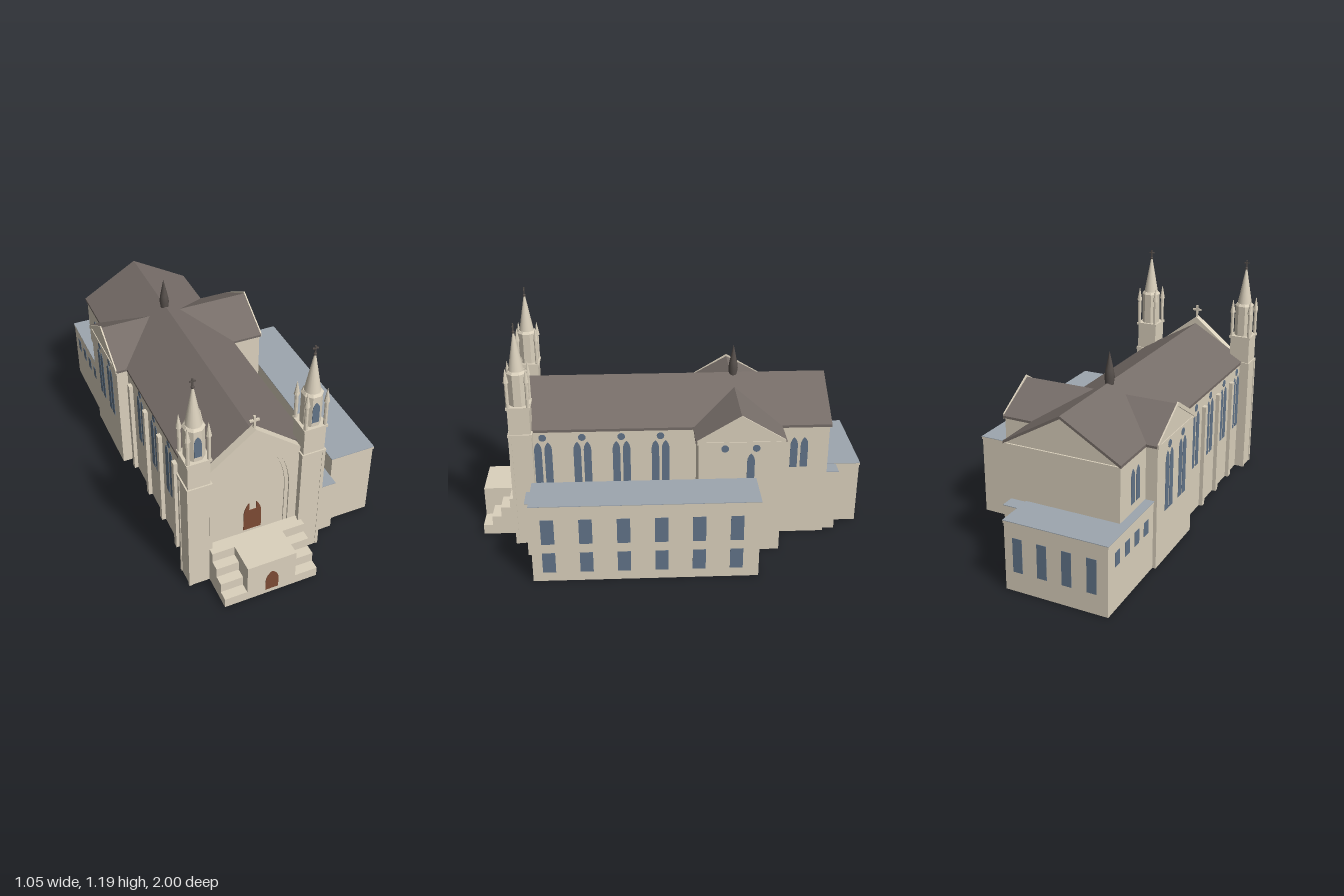
import * as THREE from 'three';

const mat = (name, color, side = THREE.FrontSide) => {
  const m = new THREE.MeshStandardMaterial({ color, side });
  m.name = name;
  return m;
};

export function createModel() {
  const stone = mat('stone', 0xdbd1bd, THREE.DoubleSide);
  const roof = mat('roofBrown', 0x766d68);
  const flat = mat('flatRoofBlue', 0x9da6af);
  const glass = mat('windowBlue', 0x627489);
  const door = mat('doorBrown', 0x7d4a34);
  const iron = mat('darkMetal', 0x57504c);
  const root = new THREE.Group();
  root.name = 'church';
  const CX = -0.168, TZ = -0.33;

  const add = (name, geo, m, x = 0, y = 0, z = 0, ry = 0, parent = root) => {
    const mesh = new THREE.Mesh(geo, m);
    mesh.name = name;
    mesh.position.set(x, y, z);
    mesh.rotation.y = ry;
    parent.add(mesh);
    return mesh;
  };
  // drop the underside, so walls standing on the ground are open shells
  const open = geo => {
    const g = geo.index ? geo.toNonIndexed() : geo;
    g.computeBoundingBox();
    const p = g.attributes.position, low = g.boundingBox.min.y + 1e-5, keep = [];
    for (let i = 0; i < p.count; i += 3)
      if (Math.max(p.getY(i), p.getY(i + 1), p.getY(i + 2)) > low) keep.push(i, i + 1, i + 2);
    g.clearGroups();
    g.setIndex(keep);
    return g;
  };
  const box = (name, m, x0, x1, y0, y1, z0, z1, parent = root) => {
    const g = new THREE.BoxGeometry(x1 - x0, y1 - y0, z1 - z0);
    return add(name, y0 === 0 ? open(g) : g, m,
      (x0 + x1) / 2, (y0 + y1) / 2, (z0 + z1) / 2, 0, parent);
  };
  const extrude = (shape, depth) =>
    new THREE.ExtrudeGeometry(shape, { depth, bevelEnabled: false, curveSegments: 10 });
  const poly = pts => new THREE.Shape(pts.map(p => new THREE.Vector2(...p)));
  // faceted shaft or cap
  const prism = (rTop, rBottom, h, sides = 8) => {
    const g = new THREE.CylinderGeometry(rTop, rBottom, h, sides).toNonIndexed();
    g.rotateY(Math.PI / sides);
    g.computeVertexNormals();
    return g;
  };

  // pointed arch outline, centred on x = 0
  const arch = (w, y0, spring, peak, Type = THREE.Shape) => {
    const s = new Type(), h = peak - spring;
    s.moveTo(-w, y0);
    s.lineTo(w, y0);
    s.lineTo(w, spring);
    s.quadraticCurveTo(w * 0.95, spring + h * 0.62, 0, peak);
    s.quadraticCurveTo(-w * 0.95, spring + h * 0.62, -w, spring);
    s.lineTo(-w, y0);
    return s;
  };
  // inverted V band, used for roofs and gable copings
  const chevron = (w, eave, peak, t) =>
    poly([[-w, eave], [-w, eave - t], [0, peak - t], [w, eave - t], [w, eave], [0, peak]]);
  const gable = (w, eave, peak) => poly([[-w, 0], [w, 0], [w, eave], [0, peak], [-w, eave]]);

  // windows: side +1 faces +x, -1 faces -x
  const T = 0.002;
  const lancet = (side, x, z, y0, y1) =>
    add('lancetWindow', extrude(arch(0.019, y0, y1 - 0.045, y1), T), glass, x, 0, z, side * Math.PI / 2);
  const roundel = (side, x, z, y) => {
    const g = new THREE.CylinderGeometry(0.019, 0.019, T, 16);
    g.rotateZ(Math.PI / 2);
    add('roundWindow', g, glass, x + side * T / 2, y, z);
  };

  // nave
  add('naveWalls', open(extrude(gable(0.289, 0.62, 0.79), 1.55)), stone, CX, 0, -0.8);
  add('naveRoof', extrude(chevron(0.296, 0.632, 0.805, 0.014), 1.56), roof, CX, 0, -0.81);
  box('naveCornice', stone, CX - 0.293, CX + 0.293, 0.612, 0.622, -0.808, 0.75);

  // transept
  const X0 = -0.515, X1 = 0.287;
  add('transeptWalls', open(extrude(gable(0.21, 0.62, 0.745), X1 - X0)), stone, X0, 0, TZ, Math.PI / 2);
  add('transeptRoof', extrude(chevron(0.225, 0.63, 0.756, 0.012), X1 - X0 + 0.004), roof, X0 - 0.002, 0, TZ, Math.PI / 2);
  box('transeptCornice', stone, X0 - 0.004, X1 + 0.004, 0.612, 0.624, TZ - 0.217, TZ + 0.217);
  for (const x of [X0 - 0.008, X1 + 0.001])
    add('transeptCoping', extrude(chevron(0.218, 0.635, 0.766, 0.022), 0.007), stone, x, 0, TZ, Math.PI / 2);
  for (const z of [-0.25, -0.405]) {
    roundel(1, X1, z, 0.588);
    roundel(-1, X0, z, 0.588);
    for (const d of [-0.024, 0.024]) lancet(-1, X0, z + d, 0.26, 0.56);
  }
  lancet(1, X1, -0.38, 0.4, 0.56);

  // nave windows and buttresses
  for (const [side, x] of [[1, CX + 0.289], [-1, CX - 0.289]]) {
    for (let i = 0; i < 4; i++) {
      const z = 0.655 - i * 0.198;
      for (const d of [-0.026, 0.026]) lancet(side, x, z + d, 0.26, 0.56);
      roundel(side, x, z, 0.585);
    }
    for (const z of [-0.622, -0.675]) lancet(side, x, z, 0.39, 0.56);
  }
  for (const z of [0.555, 0.355, 0.16, -0.06])
    box('buttress', stone, -0.477, -0.456, 0, 0.56, z - 0.015, z + 0.015);

  // flat-roofed wings
  const wing = (name, x0, x1, h, z0, z1, lip = 0.015) => {
    box(name + 'Walls', stone, x0 + 0.004, x1 - 0.004, 0, h - lip, z0 + 0.004, z1 - 0.004);
    box(name + 'Cornice', stone, x0, x1, h - lip, h - 0.003, z0, z1);
    box(name + 'Roof', flat, x0, x1, h - 0.003, h, z0, z1);
  };
  wing('sideAisle', 0.117, 0.292, 0.305, -0.125, 0.75);
  wing('sideAnnex', 0.287, 0.522, 0.422, -0.41, 0.705);
  wing('rearAnnex', -0.502, 0.02, 0.35, -1, -0.535);
  wing('rearPorch', 0.012, 0.1, 0.345, -0.87, -0.796);
  for (let i = 0; i < 6; i++) {
    const z = 0.62 - i * 0.183;
    for (const [a, b] of [[0.05, 0.16], [0.21, 0.345]])
      box('annexWindow', glass, 0.516, 0.52, a, b, z - 0.032, z + 0.032);
  }
  for (let i = 0; i < 4; i++) {
    const x = -0.05 - i * 0.123, z = -0.91 + i * 0.097;
    box('rearWindow', glass, x - 0.024, x + 0.024, 0.1, 0.27, -0.998, -0.994);
    box('rearSideWindow', glass, -0.5, -0.496, 0.215, 0.285, z - 0.023, z + 0.023);
  }

  // west front: stepped arch in two layers over a back panel
  const front = (name, w, spring, peak, z, depth) => {
    const s = gable(0.225, 0.645, 0.82);
    s.holes.push(arch(w, 0.02, spring, peak, THREE.Path));
    add(name, open(extrude(s, depth)), stone, CX, 0, z);
  };
  add('frontPanel', open(extrude(gable(0.225, 0.645, 0.82), 0.02)), stone, CX, 0, 0.75);
  front('innerArch', 0.163, 0.44, 0.768, 0.77, 0.006);
  front('outerArch', 0.182, 0.44, 0.785, 0.776, 0.008);
  add('frontCoping', extrude(chevron(0.225, 0.664, 0.842, 0.03), 0.04), stone, CX, 0, 0.75);

  // doors
  const d = new THREE.Shape();
  d.moveTo(-0.045, 0.21);
  d.lineTo(0.045, 0.21);
  d.lineTo(0.045, 0.31);
  d.quadraticCurveTo(0.043, 0.35, 0.018, 0.38);
  for (const p of [[0.018, 0.333], [-0.018, 0.333], [-0.018, 0.38]]) d.lineTo(...p);
  d.quadraticCurveTo(-0.043, 0.35, -0.045, 0.31);
  add('mainDoor', extrude(d, 0.004), door, CX + 0.002, 0, 0.77);
  add('lowerDoor', extrude(arch(0.033, 0.025, 0.085, 0.143), T), door, CX + 0.002, 0, 0.998);

  // entrance terrace and flanking stairs
  box('terrace', stone, -0.292, -0.044, 0, 0.21, 0.785, 0.998);
  for (const [x0, x1] of [[-0.405, -0.292], [-0.044, 0.072]])
    for (let i = 0; i < 4; i++)
      box('stairStep', stone, x0, x1, 0, 0.0525 * (i + 1), 0.785, 0.998 - i * 0.049);

  // crosses
  const cross = (m, x, y, z, h, w, t, parent = root) => {
    box('crossUpright', m, x - t, x + t, y, y + h, z - t, z + t, parent);
    box('crossArm', m, x - w, x + w, y + h * 0.6, y + h * 0.6 + t * 2, z - t, z + t, parent);
  };
  cross(stone, CX, 0.83, 0.768, 0.075, 0.024, 0.005);

  // towers
  for (const x of [-0.449, 0.115]) {
    const g = new THREE.Group();
    g.name = 'tower';
    g.position.set(x, 0, 0.76);
    root.add(g);
    const block = (name, h, y0, y1) => box(name, stone, -h, h, y0, y1, -h, h, g);
    block('towerBase', 0.056, 0, 0.615);
    block('towerBand', 0.061, 0.615, 0.63);
    block('towerShaft', 0.054, 0.63, 0.765);
    block('towerCornice', 0.06, 0.764, 0.777);
    for (const sx of [-1, 1]) for (const sz of [-1, 1])
      box('towerCornerStrip', stone, sx * 0.052 - 0.008, sx * 0.052 + 0.008, 0, 0.615,
        sz * 0.05 - 0.008, sz * 0.05 + 0.008, g);
    add('belfry', prism(0.049, 0.049, 0.17), stone, 0, 0.862, 0, 0, g);
    add('belfryBand', prism(0.042, 0.052, 0.012), stone, 0, 0.95, 0, 0, g);
    add('spire', new THREE.CylinderGeometry(0.004, 0.039, 0.195, 16), stone, 0, 1.05, 0, 0, g);
    add('belfryWindow', extrude(arch(0.0175, 0.8, 0.875, 0.912), T), glass,
      0, 0, 0.049 * Math.cos(Math.PI / 8), 0, g);
    for (const px of [-0.049, 0.049]) for (const pz of [-0.049, 0.049]) {
      add('pinnacleShaft', prism(0.009, 0.009, 0.14), stone, px, 0.845, pz, 0, g);
      add('pinnacleCap', prism(0.001, 0.014, 0.072), stone, px, 0.945, pz, 0, g);
    }
    add('finial', new THREE.SphereGeometry(0.008, 10, 6), iron, 0, 1.149, 0, 0, g);
    cross(iron, 0, 1.15, 0, 0.044, 0.014, 0.003, g);
  }

  // crossing spirelet
  const spirelet = [[0.017, 0.77], [0.025, 0.83], [0.02, 0.865], [0.0005, 0.957]];
  add('crossingSpirelet', new THREE.LatheGeometry(spirelet.map(p => new THREE.Vector2(...p)), 12),
    iron, CX, 0, TZ);

  return root;
}
